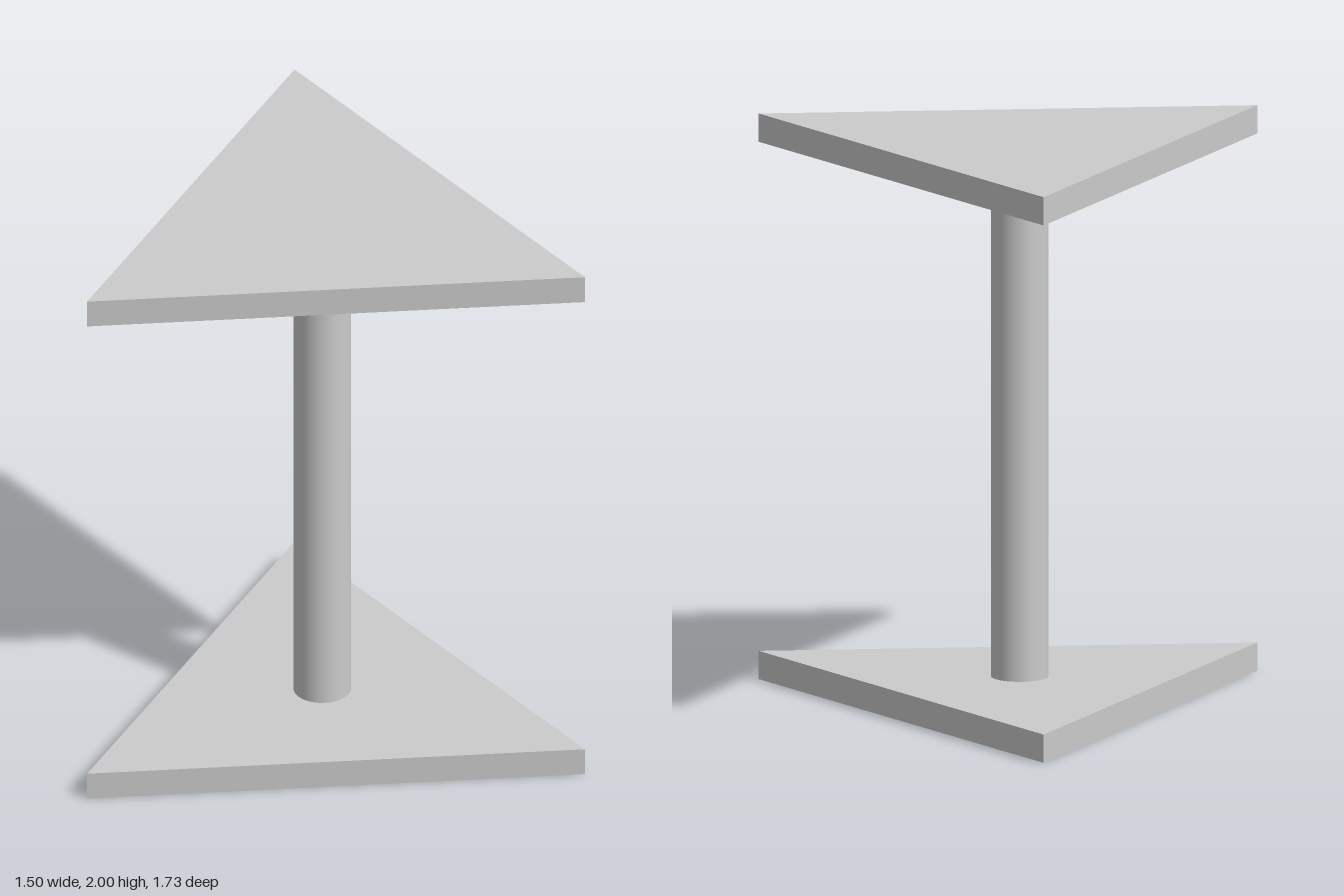
import * as THREE from 'three';

export function createModel() {
  const model = new THREE.Group();
  const axisX = -0.25; // shared vertical axis of the plates and the post
  const plateThickness = 0.1;
  const height = 2;

  const flat = new THREE.MeshStandardMaterial({ color: 0xcccccc, flatShading: true });
  const smooth = new THREE.MeshStandardMaterial({ color: 0xcccccc });

  // Equilateral triangular plates, one corner pointing to +x
  const plateGeometry = new THREE.CylinderGeometry(1, 1, plateThickness, 3).rotateY(Math.PI / 2);
  const addPlate = (name, y) => {
    const plate = new THREE.Mesh(plateGeometry, flat);
    plate.name = name;
    plate.position.set(axisX, y, 0);
    model.add(plate);
  };
  addPlate('basePlate', plateThickness / 2);
  addPlate('topPlate', height - plateThickness / 2);

  // Round post between the plates
  const postHeight = height - 2 * plateThickness;
  const post = new THREE.Mesh(new THREE.CylinderGeometry(0.1, 0.1, postHeight, 48), smooth);
  post.name = 'post';
  post.position.set(axisX, height / 2, 0);
  model.add(post);

  return model;
}
